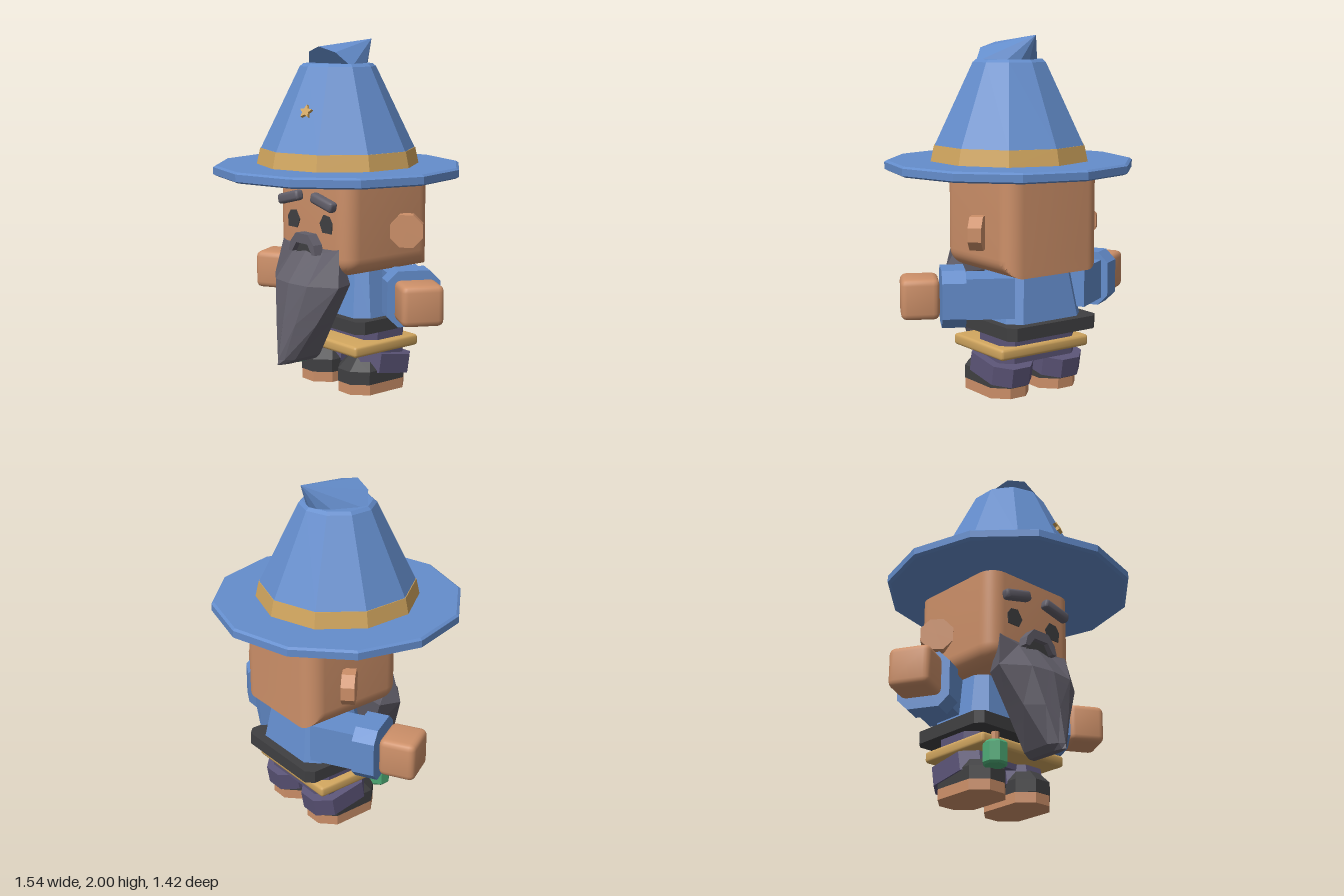
import * as THREE from 'three';
import { toCreasedNormals } from 'three/addons/utils/BufferGeometryUtils.js';
import { RoundedBoxGeometry } from 'three/addons/geometries/RoundedBoxGeometry.js';

const mat = (name, color) => Object.assign(new THREE.MeshStandardMaterial({ color }), { name });

// Octagonal prism standing on y = 0, with an optional narrower top
function prism(w, h, d, c, taper = 1) {
  const x = w / 2, z = d / 2;
  const pts = [[x - c, -z], [x, c - z], [x, z - c], [x - c, z], [c - x, z], [-x, z - c], [-x, c - z], [c - x, -z]];
  const shape = new THREE.Shape(pts.map(p => new THREE.Vector2(...p)));
  const g = new THREE.ExtrudeGeometry(shape, { depth: h, bevelEnabled: false }).rotateX(-Math.PI / 2);
  const p = g.attributes.position;
  for (let i = 0; i < p.count; i++) {
    if (p.getY(i) > h / 2) p.setXYZ(i, p.getX(i) * taper, p.getY(i), p.getZ(i) * taper);
  }
  return g;
}

// Closed skin over rings listed from bottom to top
function loft(rings) {
  const pos = [], n = rings[0].length;
  const mid = r => [0, 1, 2].map(k => r.reduce((s, p) => s + p[k], 0) / n);
  const tri = (a, b, c) => pos.push(...a, ...b, ...c);
  const last = rings.length - 1;
  for (let j = 0; j < n; j++) {
    const k = (j + 1) % n;
    for (let i = 0; i < last; i++) {
      const [a, b, c, d] = [rings[i][j], rings[i][k], rings[i + 1][k], rings[i + 1][j]];
      tri(a, b, c);
      tri(a, c, d);
    }
    tri(mid(rings[0]), rings[0][k], rings[0][j]);
    tri(mid(rings[last]), rings[last][j], rings[last][k]);
  }
  const g = new THREE.BufferGeometry();
  g.setAttribute('position', new THREE.Float32BufferAttribute(pos, 3));
  return g;
}

function poly(points) {
  return new THREE.Shape(points.map(p => new THREE.Vector2(...p)));
}

// Rounded head: back lower edge squared off, top cut flat inside the brim
function headGeometry() {
  const g = new RoundedBoxGeometry(0.64, 0.72, 0.645, 5, 0.1), p = g.attributes.position;
  for (let i = 0; i < p.count; i++) {
    let y = p.getY(i), z = p.getZ(i);
    const dy = y + 0.26, dz = z + 0.2225;
    if (dy < 0 && dz < 0) {
      const s = Math.hypot(dy, dz) / Math.max(-dy, -dz);
      y = -0.26 + dy * s;
      z = -0.2225 + dz * s;
    }
    p.setXYZ(i, p.getX(i), Math.min(y, 0.21), z);
  }
  return g;
}

export function createModel() {
  const root = new THREE.Group();
  root.name = 'wizard';
  const blue = mat('blue cloth', 0x648dcc), gold = mat('gold trim', 0xd0a55e), skin = mat('skin', 0xcd9069);
  const grey = mat('grey hair', 0x625f6a), dark = mat('dark leather', 0x404042);
  const purple = mat('purple trousers', 0x5c5578), green = mat('green flask', 0x4dab76);

  function add(name, geo, material, x = 0, y = 0, z = 0, crease = 0.25, parent = root) {
    const m = new THREE.Mesh(toCreasedNormals(geo, crease), material);
    m.name = name;
    m.position.set(x, y, z);
    parent.add(m);
    return m;
  }

  // Hat
  const brim = [[0, 1.24], [0.69, 1.24], [0.71, 1.25], [0.71, 1.29], [0.695, 1.3], [0, 1.3]];
  add('hatBrim', new THREE.LatheGeometry(brim.map(p => new THREE.Vector2(...p)), 12), blue);
  add('hatBand', new THREE.CylinderGeometry(0.442, 0.462, 0.09, 10), gold, 0, 1.345);
  const crown = [[0.438, 1.39], [0.215, 1.85], [0.195, 1.866], [0, 1.866]];
  add('hatCrown', new THREE.LatheGeometry(crown.map(p => new THREE.Vector2(...p)), 10), blue);
  add('hatTip', new THREE.ConeGeometry(0.2, 0.336, 10), blue, 0, 1.9, -0.115).rotation.x = -0.93;
  const starPts = Array.from({ length: 10 }, (_, i) => {
    const r = i % 2 ? 0.02 : 0.04, a = Math.PI / 2 + i * Math.PI / 5;
    return [r * Math.cos(a), r * Math.sin(a)];
  });
  const star = add('hatStar', new THREE.ExtrudeGeometry(poly(starPts), { depth: 0.025, bevelEnabled: false }),
    gold, 0.098, 1.605, 0.295);
  star.rotation.set(-0.43, 0.314, 0, 'YXZ');

  // Head and face
  add('head', headGeometry(), skin, 0, 1.06, -0.1195, 0.6);
  for (const s of [-1, 1]) {
    const side = s > 0 ? 'left' : 'right';
    const ear = new THREE.CylinderGeometry(0.1, 0.1, 0.075, 8).rotateY(Math.PI / 8).rotateX(Math.PI / 2);
    add(side + 'Ear', ear, skin, s * 0.36, 0.935, -0.205).rotation.y = s * Math.PI / 4;
    const brow = add(side + 'Eyebrow', new RoundedBoxGeometry(0.19, 0.06, 0.055, 2, 0.018), grey,
      s * 0.15, 1.11, 0.228, 0.6);
    brow.rotation.z = -s * 0.24;
    const eye = poly([[-0.055, 0], [-0.03, -0.05], [0.05, -0.05], [0.055, 0.01], [0.03, 0.045], [-0.02, 0.052]]
      .map(([x, y]) => [x * s, y]));
    add(side + 'Eye', new THREE.ExtrudeGeometry(eye, { depth: 0.008, bevelEnabled: false }), dark,
      s * 0.145, 0.985, 0.2);
  }
  const arch = poly([[-0.12, 0.81], [-0.09, 0.81], [-0.05, 0.865], [0.05, 0.865], [0.09, 0.81], [0.12, 0.81],
    [0.105, 0.865], [0.055, 0.92], [-0.055, 0.92], [-0.105, 0.865]]);
  add('moustache', new THREE.ExtrudeGeometry(arch, { depth: 0.075, bevelEnabled: false }), grey, 0, 0, 0.19);
  const mouth = poly([[-0.09, 0.8], [0.09, 0.8], [0.05, 0.866], [-0.05, 0.866]]);
  add('mouth', new THREE.ExtrudeGeometry(mouth, { depth: 0.009, bevelEnabled: false }), dark, 0, 0, 0.225);

  // Beard levels: centre y, edge y, half width, front z, edge z, back z
  const levels = [
    [0.19, 0.19, 0.022, 0.44, 0.37, 0.18],
    [0.22, 0.22, 0.06, 0.435, 0.36, 0.175],
    [0.43, 0.43, 0.175, 0.4, 0.3, 0.15],
    [0.65, 0.65, 0.29, 0.36, 0.235, 0.115],
    [0.82, 0.855, 0.253, 0.235, 0.2, 0.17],
  ];
  const rings = levels.map(([yc, ye, w, zf, ze, zb]) => [
    [0, yc, zf], [w * 0.5, yc, zf - 0.02], [w, ye, ze], [w * 0.85, ye, zb],
    [-w * 0.85, ye, zb], [-w, ye, ze], [-w * 0.5, yc, zf - 0.02],
  ]);
  add('beard', loft(rings), grey, 0, 0, 0, 0.1);

  // Body
  add('tunic', prism(0.52, 0.31, 0.44, 0.07, 0.78), blue, 0, 0.42, -0.175);
  add('darkBelt', prism(0.61, 0.073, 0.54, 0.04), dark, 0, 0.36, -0.175);
  add('hips', prism(0.52, 0.17, 0.31, 0.06), purple, 0, 0.2, -0.175);
  add('goldBelt', new RoundedBoxGeometry(0.61, 0.065, 0.48, 2, 0.018), gold, 0, 0.267, -0.115, 0.6);

  for (const s of [-1, 1]) {
    const side = s > 0 ? 'left' : 'right';
    // Arms swing forward from the shoulders
    const arm = new THREE.Group();
    arm.name = side + 'Arm';
    arm.position.set(s * 0.635, 0.59, -0.045);
    arm.rotation.y = -s * 0.506;
    root.add(arm);
    add(side + 'Hand', new RoundedBoxGeometry(0.21, 0.225, 0.235, 2, 0.035), skin, 0, 0, 0, 0.6, arm);
    const cuff = prism(0.315, 0.13, 0.3, 0.06).translate(0, -0.065, 0).rotateZ(Math.PI / 2);
    add(side + 'Cuff', cuff, blue, -s * 0.18, -0.003, 0, 0.25, arm);
    add(side + 'Sleeve', new THREE.BoxGeometry(0.32, 0.225, 0.22), blue, -s * 0.35, -0.003, 0, 0.25, arm);

    // Legs and boots
    add(side + 'Leg', prism(0.2, 0.2, 0.26, 0.05), purple, s * 0.15, 0.12, -0.16);
    const roll = add(side + 'TrouserCuff', prism(0.275, 0.11, 0.38, 0.08).translate(0, -0.055, 0), purple,
      s * 0.172, 0.157, -0.165);
    roll.rotation.x = -0.17;
    add(side + 'Boot', prism(0.265, 0.075, 0.415, 0.08), dark, s * 0.168, 0.06, -0.113);
    add(side + 'BootTop', prism(0.265, 0.065, 0.415, 0.08, 0.68), dark, s * 0.168, 0.135, -0.113);
    add(side + 'Sole', prism(0.265, 0.06, 0.41, 0.08), skin, s * 0.168, 0, -0.113);
  }

  // Flask hanging from the gold belt
  const flask = [[0, 0], [0.06, 0], [0.07, 0.012], [0.07, 0.118], [0.06, 0.13], [0, 0.13]];
  add('flask', new THREE.LatheGeometry(flask.map(p => new THREE.Vector2(...p)), 8, Math.PI / 8), green,
    -0.222, 0.12, 0.133);
  add('cork', new THREE.CylinderGeometry(0.022, 0.022, 0.06, 8), skin, -0.222, 0.277, 0.133);

  return root;
}
